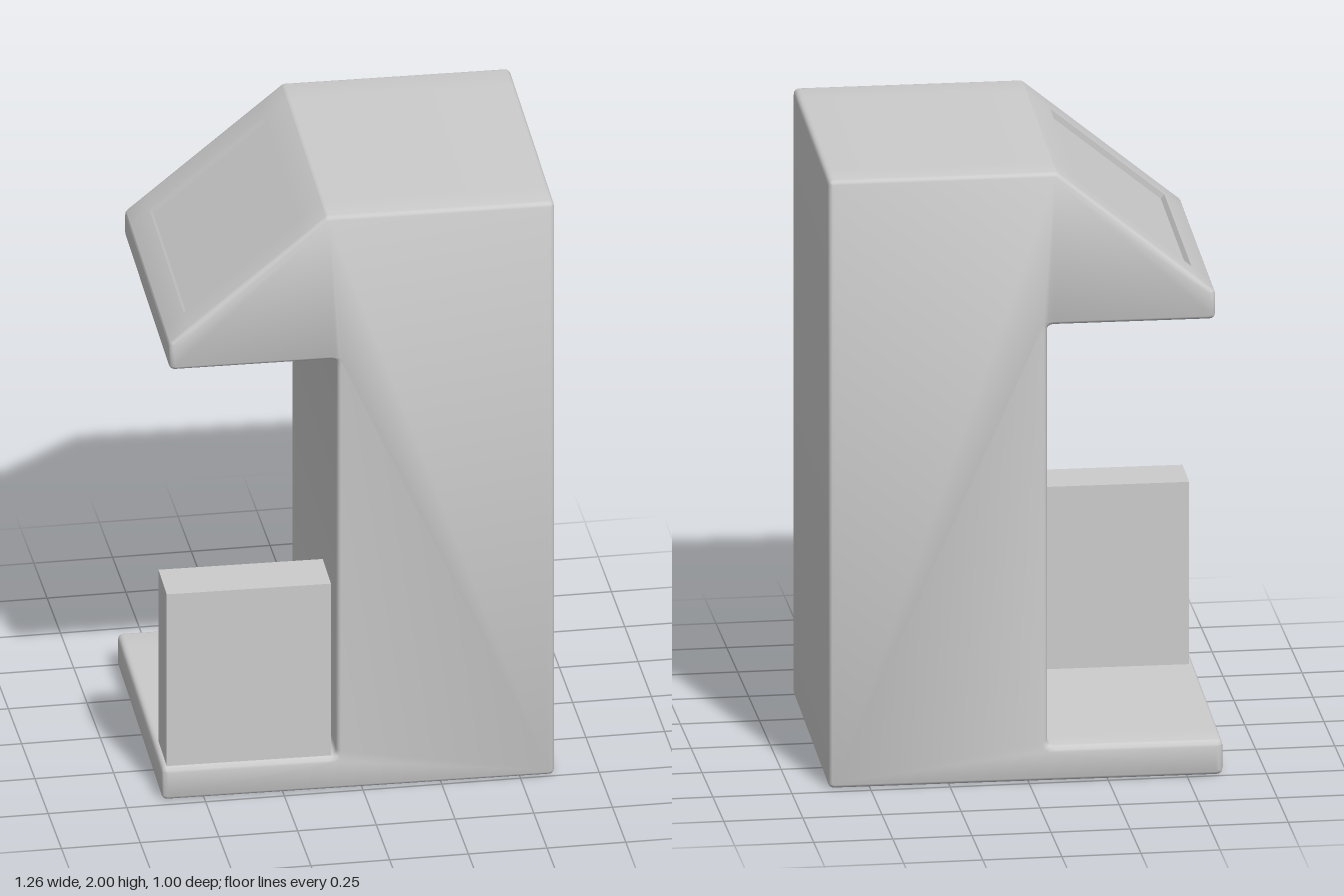
import * as THREE from 'three';
import { toCreasedNormals } from 'three/addons/utils/BufferGeometryUtils.js';

const R = 0.02;        // edge rounding
const HALF = 0.486;    // half depth
const STEPS = 4;
const V = (x, y) => new THREE.Vector2(x, y);

// Side profile, counter-clockwise
const corners = [
  V(-0.623, 0), V(0.62, 0), V(0.62, 2), V(-0.1, 2), V(-0.6, 1.59),
  V(-0.6, 1.5), V(-0.07, 1.5), V(-0.07, 0.115), V(-0.623, 0.115),
];
const SLOPE = 3; // the edge starting at this corner carries the screen recess

// Profile shrunk by inset, corners rounded, screen edge sunk by depth
function profile(inset, depth) {
  const out = [], n = corners.length;
  corners.forEach((p, i) => {
    const next = corners[(i + 1) % n];
    const d1 = p.clone().sub(corners[(i + n - 1) % n]).normalize();
    const d2 = next.clone().sub(p).normalize();
    const n1 = V(-d1.y, d1.x), n2 = V(-d2.y, d2.x); // inward normals
    const miter = n1.clone().add(n2).multiplyScalar(inset / (1 + n1.dot(n2)));
    const c = p.clone().add(miter);
    const turn = d1.cross(d2);
    const radius = turn > 0 ? R - inset : R + inset;
    const t = radius * Math.tan(Math.acos(d1.dot(d2)) / 2);
    const arc = new THREE.QuadraticBezierCurve(
      c.clone().addScaledVector(d1, -t), c, c.clone().addScaledVector(d2, t));
    out.push(...arc.getPoints(STEPS));
    if (i === SLOPE) {
      const at = (x, sink) => p.clone().lerp(next, (x - p.x) / (next.x - p.x)).addScaledVector(n2, inset + sink);
      out.push(at(-0.177, 0), at(-0.177, depth), at(-0.537, depth), at(-0.537, 0));
    }
  });
  return out;
}

// Cabinet lofted through profiles along z
function cabinetGeometry() {
  const rings = [];
  for (let i = 0; i <= STEPS; i++) {
    const a = (1 - i / STEPS) * Math.PI / 2;
    rings.push([-HALF + R - R * Math.sin(a), R * (1 - Math.cos(a)), 0]);
  }
  const front = rings.map(([z, inset]) => [-z, inset, 0]).reverse();
  // the doubled rings form the end walls of the recess
  rings.push([-0.368, 0, 0], [-0.368, 0, 0.018], [0.366, 0, 0.018], [0.366, 0, 0], ...front);

  const pos = [], index = [];
  const loops = rings.map(([z, inset, depth]) => {
    const loop = profile(inset, depth);
    loop.forEach((p) => pos.push(p.x, p.y, z));
    return loop;
  });
  const m = loops[0].length;
  for (let k = 0; k < rings.length - 1; k++) {
    for (let i = 0; i < m; i++) {
      const a = k * m + i, b = k * m + (i + 1) % m;
      index.push(a, b, b + m, a, b + m, a + m);
    }
  }
  // end caps
  const last = (rings.length - 1) * m;
  for (const [a, b, c] of THREE.ShapeUtils.triangulateShape(loops[0], [])) {
    index.push(a, c, b, last + a, last + b, last + c);
  }
  const g = new THREE.BufferGeometry();
  g.setAttribute('position', new THREE.Float32BufferAttribute(pos, 3));
  g.setIndex(index);
  return toCreasedNormals(g, 0.6);
}

export function createModel() {
  const model = new THREE.Group();
  model.name = 'kiosk';
  const grey = new THREE.MeshStandardMaterial({ color: 0xcccccc });

  const cabinet = new THREE.Mesh(cabinetGeometry(), grey);
  cabinet.name = 'cabinet';

  // Upright box standing on the base ledge
  const box = new THREE.Mesh(new THREE.BoxGeometry(0.52, 0.6, 0.176), grey);
  box.name = 'ledgeBox';
  box.position.set(-0.347, 0.415, 0.385);

  model.add(cabinet, box);
  model.rotation.y = -0.021; // stands slightly turned
  return model;
}
